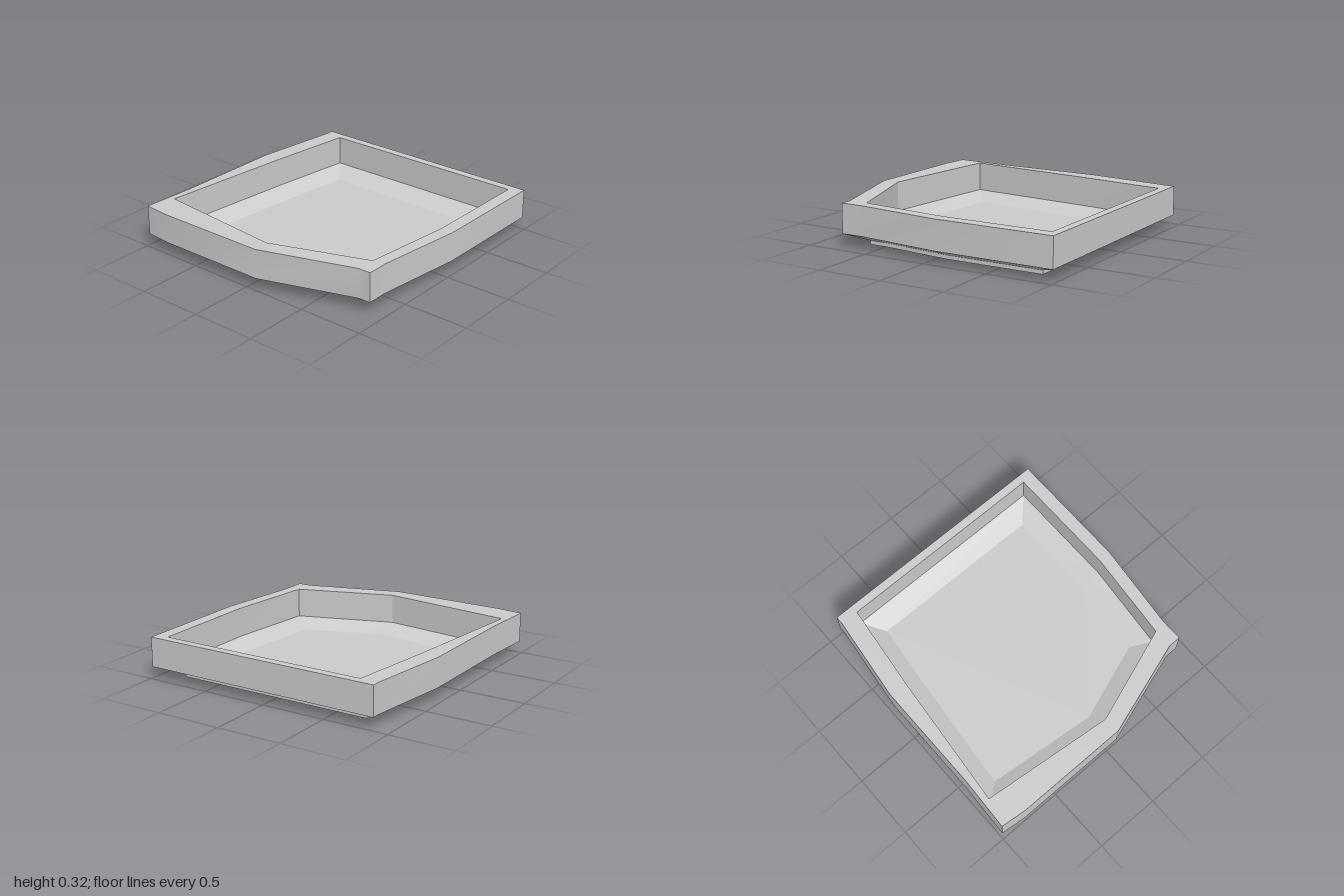
import * as THREE from 'three';
import { toCreasedNormals } from 'three/addons/utils/BufferGeometryUtils.js';

// Outlines as [x, z], running clockwise seen from above
const OUTER = [
  [-0.98, -0.99], [-0.56, -0.97], [0.28, -0.97], [0.94, -0.89], [1, -0.89], [1, 0.98],
  [0.07, 0.98], [-0.6, 0.905], [-0.77, 0.905], [-0.77, 0.81], [-1, 0.09], [-1, -0.79],
];
const BASE = OUTER.map(([x, z]) => [x * 0.83, z * 0.83]);
const INNER = [
  [-0.77, -0.93], [0.27, -0.83], [0.935, -0.75], [0.935, 0.88],
  [0.07, 0.88], [-0.62, 0.81], [-0.875, 0.08],
];
const FLOOR = [
  [-0.645, -0.775], [0.24, -0.69], [0.775, -0.63], [0.775, 0.73],
  [0.05, 0.73], [-0.52, 0.67], [-0.73, 0.07],
];

// Heights
const TOP = 0.32, SHOULDER = 0.095, FOOT = 0.03;

const material = new THREE.MeshStandardMaterial({ color: 0xcccccc });

function part(name, geometry) {
  const mesh = new THREE.Mesh(geometry, material);
  mesh.name = name;
  return mesh;
}

// Wall through a stack of rings; faces outward when the rings run downward, inward when upward
function wall(rings) {
  const pos = [];
  for (let r = 0; r + 1 < rings.length; r++) {
    const [a, ya] = rings[r], [b, yb] = rings[r + 1];
    a.forEach((p, i) => {
      const j = (i + 1) % a.length;
      const ai = [p[0], ya, p[1]], aj = [a[j][0], ya, a[j][1]];
      const bi = [b[i][0], yb, b[i][1]], bj = [b[j][0], yb, b[j][1]];
      pos.push(...ai, ...aj, ...bj, ...ai, ...bj, ...bi);
    });
  }
  const geometry = new THREE.BufferGeometry();
  geometry.setAttribute('position', new THREE.Float32BufferAttribute(pos, 3));
  return toCreasedNormals(geometry, 0.42);
}

// Flat horizontal face at height y, facing up (side 1) or down (side -1)
function cap(outline, y, side, hole) {
  const points = (list) => list.map(([x, z]) => new THREE.Vector2(x, -side * z));
  const shape = new THREE.Shape(points(outline));
  if (hole) shape.holes.push(new THREE.Path(points(hole)));
  return new THREE.ShapeGeometry(shape).rotateX(-side * Math.PI / 2).translate(0, y, 0);
}

export function createModel() {
  const tray = new THREE.Group();
  tray.name = 'tray';
  tray.add(
    // Upright side, sloping underside and short foot
    part('outerWall', wall([[OUTER, TOP], [OUTER, SHOULDER], [BASE, FOOT], [BASE, 0]])),
    // Recess with a bevelled lower edge
    part('innerWall', wall([[FLOOR, FOOT], [INNER, SHOULDER], [INNER, TOP]])),
    part('rim', cap(OUTER, TOP, 1, INNER)),
    part('floor', cap(FLOOR, FOOT, 1)),
    part('underside', cap(BASE, 0, -1)),
  );
  return tray;
}
